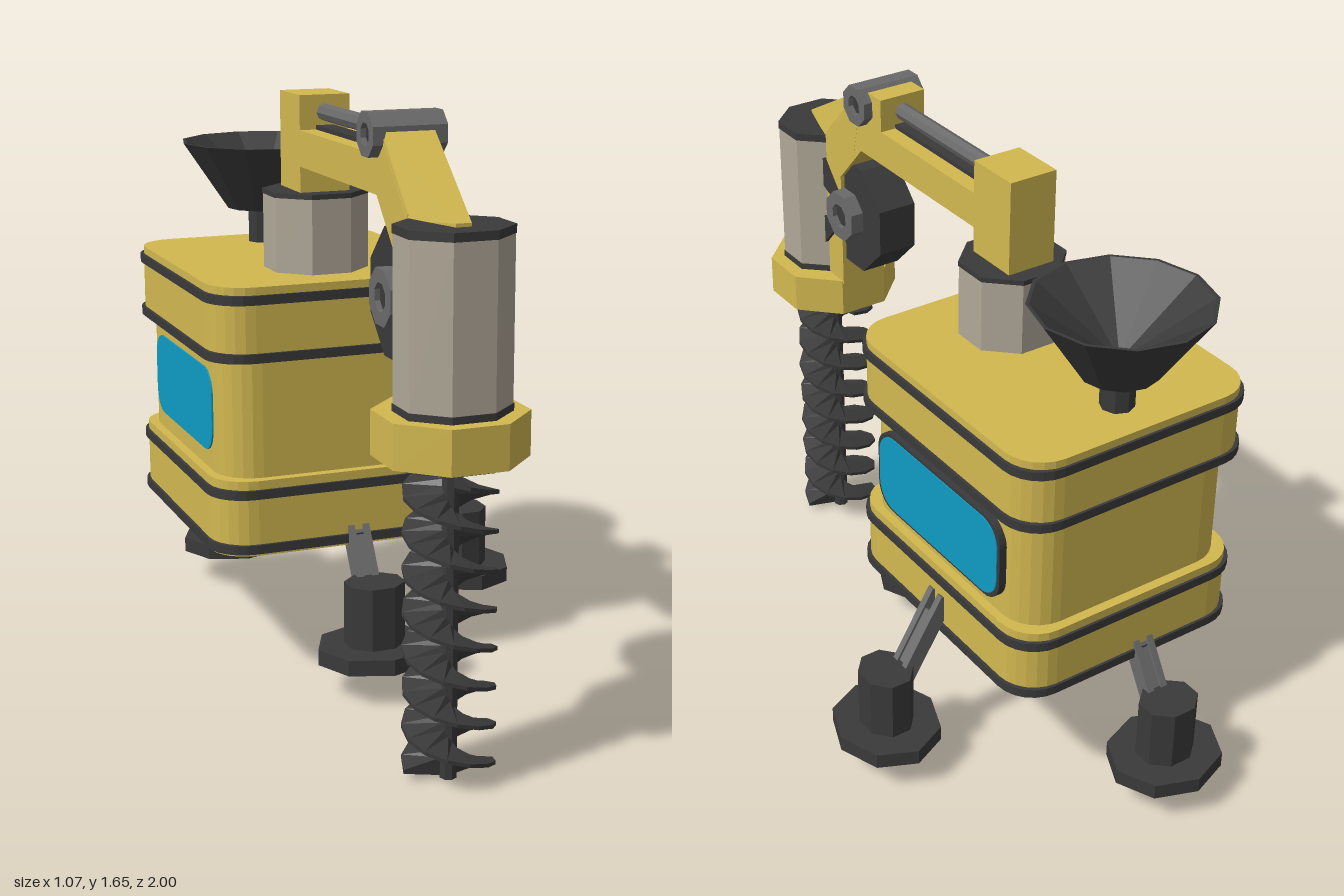
import * as THREE from 'three';
import { ConvexGeometry } from 'three/addons/geometries/ConvexGeometry.js';

const mat = (color) => new THREE.MeshStandardMaterial({ color, flatShading: true, side: THREE.DoubleSide });
const YELLOW = mat(0xd2b850), DARK = mat(0x3a3a3a), GREY = mat(0x6a6a6a), CASING = mat(0xb0a898), GLASS = mat(0x0f9cc4);
const CX = -0.16, BODY_Z = -0.31, DRILL_Z = 0.825;

function add(parent, name, geometry, material, x = 0, y = 0, z = 0) {
  const mesh = new THREE.Mesh(geometry, material);
  mesh.name = name;
  mesh.position.set(x, y, z);
  parent.add(mesh);
  return mesh;
}

// Upright octagonal prism; rx and rz are half-widths across the flats
function octagon(rx, rz, h) {
  const k = 1 / Math.cos(Math.PI / 8);
  return new THREE.CylinderGeometry(k, k, h, 8).rotateY(Math.PI / 8).scale(rx, 1, rz);
}

// Rectangle with faceted round corners
function roundedRect(w, d, r) {
  const s = new THREE.Shape(), a = w / 2 - r, b = d / 2 - r;
  s.absarc(a, b, r, 0, Math.PI / 2);
  s.absarc(-a, b, r, Math.PI / 2, Math.PI);
  s.absarc(-a, -b, r, Math.PI, Math.PI * 1.5);
  s.absarc(a, -b, r, Math.PI * 1.5, Math.PI * 2);
  s.closePath();
  return s;
}

// Horizontal slab of the hull, from y0 to y1
function slab(parent, name, w, d, y0, y1, material) {
  const g = new THREE.ExtrudeGeometry(roundedRect(w, d, 0.11), { depth: y1 - y0, bevelEnabled: false, curveSegments: 3 });
  add(parent, name, g.rotateX(-Math.PI / 2), material, CX, y0, BODY_Z);
}

// Side profile given as [z, y] points, extruded to a width along x
function sideProfile(points, width) {
  const s = new THREE.Shape(points.map(([z, y]) => new THREE.Vector2(z, y)));
  return new THREE.ExtrudeGeometry(s, { depth: width, bevelEnabled: false })
    .translate(0, 0, -width / 2).rotateY(-Math.PI / 2);
}

// Left-handed screw flight, tapering from a thick root to a thin edge
function flight(phase, yTop, yBottom, pitch) {
  const n = 48, pos = [], idx = [];
  const section = [[0.02, 0.024], [0.12, 0.005], [0.12, -0.005], [0.02, -0.024]];
  for (let i = 0; i <= n; i++) {
    const y = yTop + (yBottom - yTop) * i / n;
    const t = phase + (yTop - y) / pitch * Math.PI * 2;
    for (const [r, dy] of section) pos.push(r * Math.sin(t), y + dy, r * Math.cos(t));
    if (i === n) break;
    for (let j = 0; j < 4; j++) {
      const a = i * 4 + j, b = i * 4 + (j + 1) % 4;
      idx.push(a, b, a + 4, b, b + 4, a + 4);
    }
  }
  idx.push(0, 2, 1, 0, 3, 2);
  const e = n * 4;
  idx.push(e, e + 1, e + 2, e, e + 2, e + 3);
  const g = new THREE.BufferGeometry();
  g.setAttribute('position', new THREE.Float32BufferAttribute(pos, 3));
  g.setIndex(idx);
  g.computeVertexNormals();
  return g;
}

// Foot with a forked strut leaning back towards the hull (local -x)
function leg(name, x, z, turn) {
  const g = new THREE.Group();
  g.name = name;
  g.position.set(x, 0, z);
  g.rotation.y = turn;
  add(g, 'footPlate', new THREE.CylinderGeometry(0.167, 0.167, 0.045, 8).scale(0.9, 1, 1), DARK, 0, 0.117, 0);
  add(g, 'footPost', octagon(0.07, 0.08, 0.18), DARK, 0, 0.228, 0);
  const strut = new THREE.Group();
  strut.name = 'strut';
  strut.position.set(-0.115, 0.385, 0);
  strut.rotation.z = 0.54;
  for (const s of [-1, 1]) add(strut, 'strutProng', new THREE.BoxGeometry(0.05, 0.28, 0.02), GREY, 0, 0, s * 0.022);
  add(strut, 'strutCore', new THREE.BoxGeometry(0.035, 0.22, 0.03), GREY, 0, -0.03, 0);
  g.add(strut);
  return g;
}

// Pivot pin along x with a recessed dark centre
function pivot(parent, name, r, y, z) {
  const ring = new THREE.Shape(), hole = new THREE.Path();
  ring.absarc(0, 0, r, 0, Math.PI * 2);
  hole.absarc(0, 0, r * 0.5, 0, Math.PI * 2, true);
  ring.holes.push(hole);
  const g = new THREE.ExtrudeGeometry(ring, { depth: 0.2, bevelEnabled: false, curveSegments: 4 })
    .translate(0, 0, -0.1).rotateZ(Math.PI / 8).rotateY(Math.PI / 2);
  add(parent, name, g, GREY, CX, y, z);
  add(parent, name + 'Core', new THREE.CylinderGeometry(r * 0.55, r * 0.55, 0.17, 8).rotateZ(Math.PI / 2), DARK, CX, y, z);
}

export function createModel() {
  const model = new THREE.Group();
  model.name = 'drillingMachine';

  // Hull: two wide sections, a narrower waist and dark trim bands
  const hull = new THREE.Group();
  hull.name = 'hull';
  slab(hull, 'lowerHull', 0.735, 0.835, 0.39, 0.605, YELLOW);
  slab(hull, 'hullWaist', 0.685, 0.78, 0.6, 0.94, YELLOW);
  slab(hull, 'upperHull', 0.735, 0.835, 0.935, 1.145, YELLOW);
  for (const y of [0.41, 0.567, 0.95, 1.11]) slab(hull, 'trimBand', 0.752, 0.85, y - 0.013, y + 0.013, DARK);
  model.add(hull);

  // Windows: framed on the left side, flush on the right
  const pane = (w, h, depth) => new THREE.ExtrudeGeometry(roundedRect(w, h, 0.07), { depth, bevelEnabled: false, curveSegments: 4 }).rotateY(Math.PI / 2);
  add(model, 'windowFrame', pane(0.585, 0.255, 0.03), DARK, 0.173, 0.773, BODY_Z);
  add(model, 'leftWindow', pane(0.565, 0.237, 0.03), GLASS, 0.176, 0.773, BODY_Z);
  add(model, 'rightWindow', pane(0.565, 0.237, 0.03), GLASS, -0.507, 0.773, BODY_Z);

  // Legs
  model.add(leg('leftLeg', 0.38, -0.32, 0));
  model.add(leg('frontLeg', -0.125, 0.23, -Math.PI / 2));
  model.add(leg('backLeg', -0.195, -0.85, Math.PI / 2));

  // Hopper: hollow funnel on a short pipe
  const funnel = [[0.0, 1.245], [0.11, 1.25], [0.245, 1.45], [0.235, 1.45], [0.0, 1.28]].map(([r, y]) => new THREE.Vector2(r, y));
  add(model, 'hopper', new THREE.LatheGeometry(funnel, 12), DARK, CX, 0, -0.6);
  add(model, 'hopperPipe', new THREE.CylinderGeometry(0.047, 0.047, 0.12, 8), DARK, CX, 1.195, -0.6);

  // Turret
  add(model, 'turret', octagon(0.137, 0.13, 0.215), CASING, CX, 1.247, -0.13);
  add(model, 'turretCap', octagon(0.139, 0.132, 0.014), DARK, CX, 1.361, -0.13);

  // Arm: post, beam, elbow and the spine behind the motor
  const armProfile = [[-0.215, 1.365], [-0.05, 1.365], [-0.05, 1.44], [0.52, 1.44], [0.64, 1.31], [0.64, 0.95], [0.72, 0.95],
    [0.72, 1.42], [0.55, 1.6], [0.51, 1.635], [0.41, 1.635], [0.41, 1.54], [-0.05, 1.54], [-0.05, 1.635], [-0.215, 1.635]];
  add(model, 'arm', sideProfile(armProfile, 0.145), YELLOW, CX);
  const noseCorners = [];
  for (const s of [-1, 1]) {
    for (const [hw, y, z] of [[0.073, 1.63, 0.51], [0.073, 1.42, 0.56], [0.073, 1.405, 0.72], [0.02, 1.42, 0.89], [0.02, 1.405, 0.89]])
      noseCorners.push(new THREE.Vector3(s * hw, y, z));
  }
  add(model, 'armNose', new ConvexGeometry(noseCorners), YELLOW, CX);

  // Piston, hinge and winch wheel
  add(model, 'piston', new THREE.CylinderGeometry(0.024, 0.024, 0.46, 8).rotateX(Math.PI / 2), GREY, CX, 1.587, 0.18);
  add(model, 'pistonRail', new THREE.BoxGeometry(0.05, 0.012, 0.46), DARK, CX, 1.546, 0.18);
  pivot(model, 'elbowPivot', 0.06, 1.59, 0.51);
  pivot(model, 'wheelPivot', 0.077, 1.2, 0.61);
  add(model, 'wheel', octagon(0.165, 0.165, 0.12).rotateZ(Math.PI / 2), DARK, CX, 1.2, 0.61);
  for (const s of [-1, 1]) {
    const bracket = [[0.725, 1.2 + s * 0.14], [0.725, 1.2 + s * 0.05], [0.6, 1.2]];
    add(model, 'wheelBracket', sideProfile(bracket, 0.165), DARK, CX);
  }

  // Drill head: motor casing, caps and collar
  add(model, 'motor', octagon(0.136, 0.125, 0.42), CASING, CX, 1.182, 0.835);
  for (const y of [0.965, 1.4]) add(model, 'motorCap', octagon(0.138, 0.127, 0.022), DARK, CX, y, 0.835);
  add(model, 'collar', octagon(0.18, 0.178, 0.115), YELLOW, CX, 0.9, 0.822);
  add(model, 'collarPlate', octagon(0.14, 0.13, 0.02), DARK, CX, 0.837, DRILL_Z);

  // Auger: shaft with two interleaved flights
  const auger = new THREE.Group();
  auger.name = 'auger';
  auger.position.set(CX, 0, DRILL_Z);
  add(auger, 'augerShaft', new THREE.CylinderGeometry(0.023, 0.023, 0.83, 8), DARK, 0, 0.415, 0);
  for (const phase of [0, Math.PI]) add(auger, 'augerFlight', flight(phase, 0.79, 0.03, 0.203), DARK);
  model.add(auger);

  return model;
}
